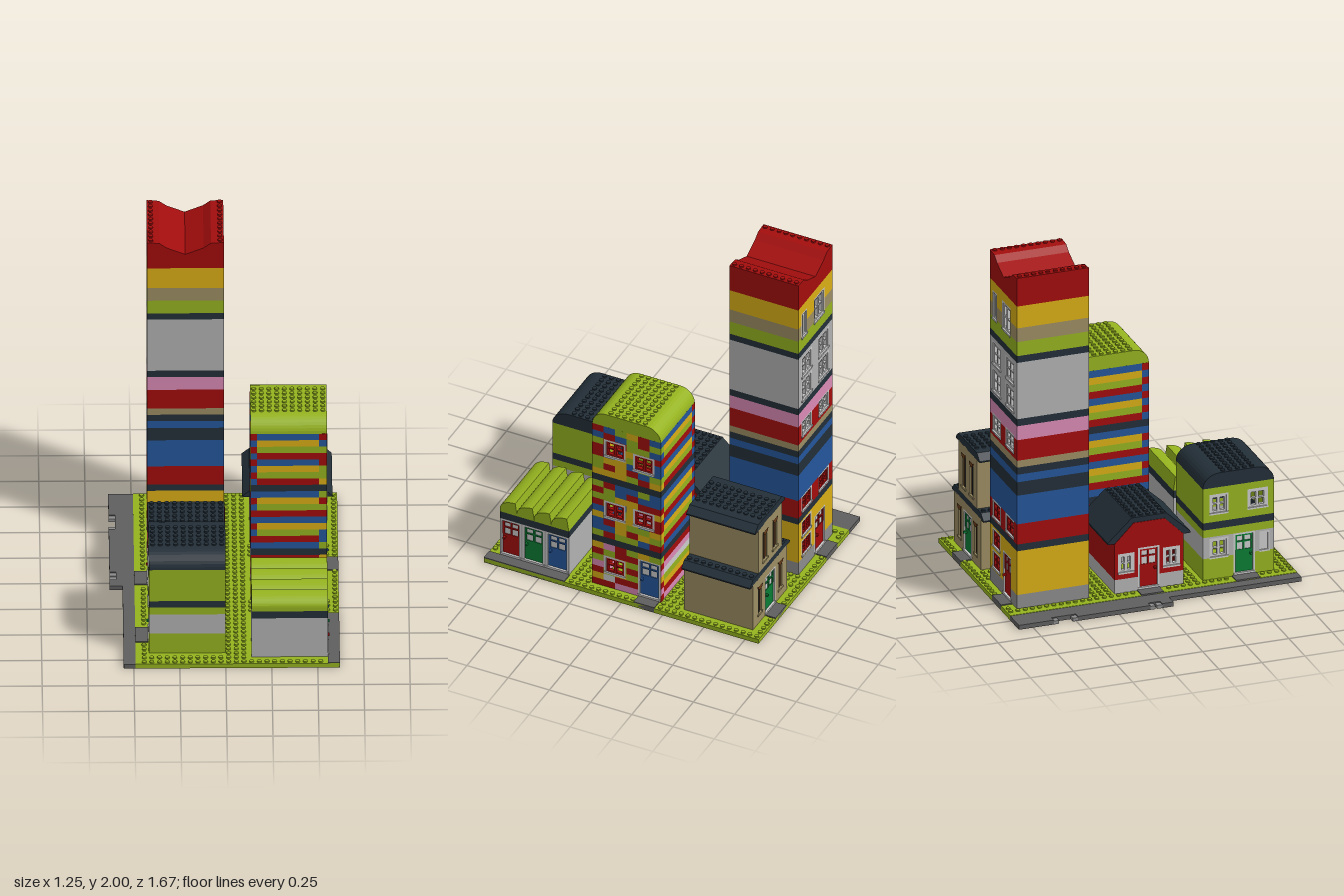
import * as THREE from 'three';
import { mergeGeometries } from 'three/addons/utils/BufferGeometryUtils.js';

const P = 0.0417; // stud pitch, also the brick course height
const C = {
  red: 0xa30d0d, yellow: 0xd9ae16, tan: 0x9c8d63, green: 0x95b31f, dark: 0x232f38, grey: 0xb2b2b2,
  pink: 0xd98ab5, blue: 0x25569b, road: 0x5f5f5f, door: 0x0b7d35, brown: 0x6b3d1c, stone: 0x8c8c8c, white: 0xd8d8d8,
};
const mats = {};
const mat = (c) => (mats[c] ??= new THREE.MeshStandardMaterial({ color: C[c] }));

function add(parent, name, color, geo) {
  const m = new THREE.Mesh(geo, mat(color));
  m.name = name;
  parent.add(m);
  return m;
}

function boxGeo(x0, x1, y0, y1, z0, z1) {
  return new THREE.BoxGeometry(x1 - x0, y1 - y0, z1 - z0).translate((x0 + x1) / 2, (y0 + y1) / 2, (z0 + z1) / 2);
}
const box = (g, name, color, ...b) => add(g, name, color, boxGeo(...b));

function group(parent, name) {
  const g = new THREE.Group();
  g.name = name;
  parent.add(g);
  return g;
}

// Grid of studs over a rectangle, leaving out blocked rectangles [x0, x1, z0, z1]
function studs(g, color, x0, x1, z0, z1, y, blocked = []) {
  const list = [];
  for (let x = x1 - P / 2; x > x0 + 0.012; x -= P)
    for (let z = z0 + P / 2; z < z1 - 0.012; z += P) {
      if (blocked.some((b) => x > b[0] - 0.01 && x < b[1] + 0.01 && z > b[2] - 0.01 && z < b[3] + 0.01)) continue;
      list.push(new THREE.CylinderGeometry(0.0125, 0.0125, 0.008, 12).translate(x, y + 0.004, z));
    }
  add(g, 'studs', color, mergeGeometries(list));
}

// Profile extruded along z, or along x (profile then runs in z, y)
function prism(g, name, color, pts, a, b, alongX) {
  const shape = new THREE.Shape(pts.map(([u, y]) => new THREE.Vector2(alongX ? -u : u, y)));
  const geo = new THREE.ExtrudeGeometry(shape, { depth: b - a, bevelEnabled: false });
  geo.translate(0, 0, a);
  if (alongX) geo.rotateY(Math.PI / 2);
  return add(g, name, color, geo);
}

// Flat-topped roof profile with quarter-round edges
function roundedProfile(a, b, y0, y1, r) {
  const pts = [[a, y0]];
  for (let i = 0; i <= 8; i++) {
    const t = (i / 8) * Math.PI / 2;
    pts.push([a + r - r * Math.cos(t), y0 + (y1 - y0) * Math.sin(t)]);
  }
  for (let i = 8; i >= 0; i--) {
    const t = (i / 8) * Math.PI / 2;
    pts.push([b - r + r * Math.cos(t), y0 + (y1 - y0) * Math.sin(t)]);
  }
  return [...pts, [b, y0]];
}

// Box on a facade: u runs along the wall, d is the depth inward from its face
function onFace(g, name, color, f, u0, u1, y0, y1, d0, d1) {
  const [a, b] = f.sign > 0 ? [f.at - d1, f.at - d0] : [f.at + d0, f.at + d1];
  if (f.axis === 'x') box(g, name, color, a, b, y0, y1, u0, u1);
  else box(g, name, color, u0, u1, y0, y1, a, b);
}

// Piece of wall cut around the openings
function cutWall(g, f, u0, u1, y0, y1, color, holes) {
  const cuts = (lo, hi, i, j) => [...new Set([lo, hi, ...holes.flatMap((h) => [h[i], h[j]]).filter((v) => v > lo && v < hi)])].sort((p, q) => p - q);
  const us = cuts(u0, u1, 0, 1), ys = cuts(y0, y1, 2, 3);
  for (let i = 0; i + 1 < us.length; i++)
    for (let j = 0; j + 1 < ys.length; j++) {
      const u = (us[i] + us[i + 1]) / 2, y = (ys[j] + ys[j + 1]) / 2;
      if (!holes.some((h) => u > h[0] && u < h[1] && y > h[2] && y < h[3])) onFace(g, 'facade', color, f, us[i], us[i + 1], ys[j], ys[j + 1], 0, P);
    }
}

// Window: [u0, u1, y0, y1, frame colour]; door: the same with 'door' sixth; arch: brown shutters
function fitting(g, f, [u0, u1, y0, y1, color, kind]) {
  const e = 0.011, um = (u0 + u1) / 2, isDoor = kind === 'door', n = isDoor ? 'door' : 'window';
  const bar = (c, a, b, p, q, d = 0) => onFace(g, n + 'Frame', c, f, a, b, p, q, d, 0.025);
  const outer = color === 'brown' ? 'tan' : 'white';
  bar(outer, u0, u0 + e, y0, y1); bar(outer, u1 - e, u1, y0, y1);
  bar(outer, u0, u1, y1 - e, y1); bar(outer, u0, u1, y0, y0 + e, -0.005);
  if (isDoor || color === 'brown') {
    const top = isDoor ? y0 + (y1 - y0) * 0.58 : y1;
    onFace(g, n + 'Panel', color, f, u0 + e, u1 - e, y0, top, 0.008, 0.02);
    if (!isDoor) { bar('dark', um - 0.003, um + 0.003, y0, y1, 0.005); return; }
    onFace(g, 'windowPanes', 'white', f, u0 + e, u1 - e, top, y1, 0.012, 0.02);
    bar(color, u0 + e, u0 + 2 * e, top, y1, 0.006); bar(color, u1 - 2 * e, u1 - e, top, y1, 0.006);
    bar(color, um - 0.005, um + 0.005, top, y1, 0.006); bar(color, u0 + e, u1 - e, y1 - 2 * e, y1 - e, 0.006);
    bar(color, u0 + e, u1 - e, (top + y1) / 2 - 0.008, (top + y1) / 2, 0.006);
    onFace(g, 'doorKnob', color, f, u1 - 0.03, u1 - 0.018, y0 + 0.11, y0 + 0.122, -0.01, 0.01);
    return;
  }
  // casement bars around two panes
  const a = u0 + e, b = u1 - e, p = y0 + e, q = y1 - e;
  bar(color, a, a + e, p, q, 0.004); bar(color, b - e, b, p, q, 0.004); bar(color, um - 0.008, um + 0.008, p, q, 0.004);
  bar(color, a, b, p, p + e, 0.004); bar(color, a, b, q - e, q, 0.004);
  bar(color, a, b, (p + q) / 2 - 0.004, (p + q) / 2 + 0.004, 0.006);
}

// Hollow building: bands are [top, colour] from the bottom up; one face carries the openings
function building(g, [x0, x1, z0, z1], y, bands, axis, sign, holes, cols) {
  const f = { axis, sign, at: axis === 'x' ? (sign > 0 ? x1 : x0) : (sign > 0 ? z1 : z0) };
  const [u0, u1] = axis === 'x' ? [z0, z1] : [x0, x1];
  for (const [top, color, mosaic] of bands) {
    for (const [ax, s, at] of [['x', 1, x1], ['x', -1, x0], ['z', 1, z1], ['z', -1, z0]]) {
      if (ax === axis && s === sign) continue;
      const [a, b] = ax === 'x' ? [z0, z1] : [x0, x1], k = ax === axis ? 0 : P;
      const lo = a + (sign < 0 ? k : 0), hi = b - (sign > 0 ? k : 0);
      onFace(g, 'wall', color, { axis: ax, sign: s, at }, lo, hi, y, top, 0, P);
    }
    const n = mosaic ? cols : 1;
    for (let i = 0; i < n; i++) cutWall(g, f, u0 + (u1 - u0) * i / n, u0 + (u1 - u0) * (i + 1) / n, y, top, mosaic ? mosaic[i] : color, holes);
    y = top;
  }
  for (const h of holes) fitting(g, f, h);
}

export function createModel() {
  const model = new THREE.Group();
  model.name = 'brickTown';

  // Ground plate, pavement and door paths
  const ground = group(model, 'ground');
  const paths = [[-0.49, -0.42, -0.07, 0.06], [-0.49, -0.42, 0.48, 0.62], [0.555, 0.62, -0.2, -0.075], [0.555, 0.62, 0.345, 0.833],
    [-0.35, -0.21, -0.833, -0.77], [0.28, 0.41, -0.833, -0.77]];
  box(ground, 'plate', 'green', -0.49, 0.62, 0, 0.028, -0.833, 0.833);
  for (const [a, b, c, d] of paths) box(ground, 'doorPath', 'road', a, b, 0.002, 0.034, c, d);
  box(ground, 'pavement', 'road', -0.555, -0.49, 0, 0.026, -0.833, 0.833);
  for (const [a, b] of [[-0.833, -0.63], [-0.49, -0.07], [0, 0.065]]) box(ground, 'kerb', 'road', -0.625, -0.555, 0, 0.026, a, b);
  for (const [a, b] of [[-0.63, -0.49], [-0.07, 0]]) {
    box(ground, 'kerbGap', 'road', -0.59, -0.555, 0, 0.026, a, b);
    for (const z of [a, b - 0.03]) box(ground, 'drainEdge', 'stone', -0.625, -0.56, 0, 0.02, z, z + 0.03);
  }
  const lots = { tower: [-0.418, 0, -0.767, -0.35], villa: [0.14, 0.555, -0.767, -0.35], cottage: [-0.418, 0, -0.2, 0.2],
    hall: [-0.418, 0, 0.312, 0.725], flats: [0.14, 0.555, -0.208, 0.208], shops: [0.14, 0.555, 0.35, 0.767] };
  studs(ground, 'green', -0.49, 0.62, -0.833, 0.833, 0.028, [...paths, ...Object.values(lots)]);

  // Tall striped tower, front door at the back
  const tower = group(model, 'tower');
  const tw = [[-0.33, -0.2, 0.035, 0.29, 'red', 'door'], [-0.16, -0.04, 0.12, 0.23, 'red'], [-0.16, -0.04, 0.25, 0.36, 'red']];
  for (const [a, b] of [[-0.375, -0.245], [-0.17, -0.04]]) {
    tw.push([a, b, 0.42, 0.53, 'red'], [a, b, 0.93, 1.04, 'white'], [a, b, 1.17, 1.31, 'white'], [a, b, 1.33, 1.47, 'white']);
  }
  tw.push([-0.32, -0.19, 1.6, 1.77, 'white'], [-0.11, -0.04, 1.6, 1.77, 'white']);
  building(tower, lots.tower, 0.028, [[0.11, 'stone'], [0.37, 'yellow'], [0.41, 'dark'], [0.53, 'red'], [0.7, 'blue'], [0.78, 'dark'], [0.825, 'blue'],
    [0.867, 'dark'], [0.908, 'tan'], [1.03, 'red'], [1.113, 'pink'], [1.155, 'dark'], [1.49, 'grey'], [1.53, 'dark'], [1.613, 'green'],
    [1.695, 'tan'], [1.825, 'yellow']], 'z', -1, tw);
  prism(tower, 'dippedRoof', 'red', [[-0.418, 1.825], [-0.418, 1.992], [-0.35, 1.987], [-0.31, 1.957], [-0.21, 1.915], [-0.11, 1.957], [-0.07, 1.987], [0, 1.992], [0, 1.825]], -0.767, -0.35);
  studs(tower, 'red', -0.418, -0.376, -0.767, -0.35, 1.992);
  studs(tower, 'red', -0.042, 0, -0.767, -0.35, 1.992);

  // Two-storey villa with a narrower upper floor
  const villa = group(model, 'villa');
  const up = [0.2, 0.49, -0.767, -0.35];
  building(villa, lots.villa, 0.028, [[0.33, 'tan']], 'z', -1, [[0.28, 0.41, 0.035, 0.28, 'door', 'door'], [0.19, 0.25, 0.08, 0.28, 'brown'], [0.44, 0.5, 0.08, 0.28, 'brown']]);
  building(villa, up, 0.365, [[0.66, 'tan']], 'z', -1, [[0.25, 0.32, 0.4, 0.61, 'brown'], [0.37, 0.44, 0.4, 0.61, 'brown']]);
  for (const [x, y] of [[0.285, 0.61], [0.405, 0.61], [0.22, 0.28], [0.47, 0.28]])
    add(villa, 'windowArch', 'brown', new THREE.CylinderGeometry(0.028, 0.028, 0.012, 16, 1, false, Math.PI / 2, Math.PI).rotateX(-Math.PI / 2).translate(x, y, -0.766));
  prism(villa, 'lowerEaves', 'dark', [[0.1, 0.325], [0.1, 0.333], [0.14, 0.366], [0.555, 0.366], [0.59, 0.333], [0.59, 0.325]], -0.767, -0.35);
  studs(villa, 'dark', 0.14, 0.182, -0.767, -0.35, 0.366);
  studs(villa, 'dark', 0.51, 0.552, -0.767, -0.35, 0.366);
  prism(villa, 'upperRoof', 'dark', [[0.16, 0.655], [0.16, 0.663], [0.2, 0.698], [0.49, 0.698], [0.53, 0.663], [0.53, 0.655]], -0.767, -0.35);
  studs(villa, 'dark', 0.24, 0.45, -0.767, -0.35, 0.698);

  // Red cottage with a sloped roof
  const cottage = group(model, 'cottage');
  building(cottage, lots.cottage, 0.028, [[0.11, 'grey'], [0.33, 'red']], 'x', -1,
    [[-0.065, 0.06, 0.035, 0.28, 'red', 'door'], [-0.18, -0.085, 0.14, 0.26, 'white'], [0.08, 0.18, 0.14, 0.26, 'white']]);
  const gable = [[-0.24, 0.325], [-0.24, 0.335], [-0.1, 0.465], [0.1, 0.465], [0.24, 0.335], [0.24, 0.325]].reverse();
  prism(cottage, 'slopedRoof', 'dark', gable, -0.418, 0, true);
  prism(cottage, 'gableWall', 'red', [[0.2, 0.325], [0.09, 0.435], [-0.09, 0.435], [-0.2, 0.325]], -0.421, 0.003, true);
  studs(cottage, 'dark', -0.418, 0, -0.104, 0.104, 0.465);

  // Green hall with a rounded roof
  const hall = group(model, 'hall');
  building(hall, lots.hall, 0.028, [[0.155, 'green'], [0.28, 'grey'], [0.325, 'green'], [0.367, 'dark'], [0.57, 'green']], 'x', -1,
    [[0.49, 0.615, 0.035, 0.28, 'door', 'door'], [0.35, 0.46, 0.15, 0.27, 'white'], [0.64, 0.7, 0.15, 0.27, 'white'], [0.35, 0.46, 0.41, 0.53, 'white'], [0.57, 0.69, 0.41, 0.53, 'white']]);
  prism(hall, 'roundedRoof', 'dark', roundedProfile(0.312, 0.725, 0.57, 0.655, 0.1), -0.418, 0, true);
  studs(hall, 'dark', -0.418, 0, 0.415, 0.625, 0.655);

  // Patchwork flats: striped sides, mosaic front towards the right-hand edge
  const flats = group(model, 'flats');
  let seed = 7;
  const pick = (list) => list[(seed = (seed * 16807) % 2147483647) % list.length];
  const low = ['pink', 'red', 'yellow', 'green', 'white', 'pink'], high = ['red', 'blue', 'yellow', 'green'];
  const cycle = ['red', 'green', 'yellow', 'blue'], bands = [];
  for (let i = 0; i < 26; i++) {
    const dark = i === 7 || i === 17;
    const color = dark ? 'dark' : i < 7 ? low[i % 5] : cycle[(i - (i > 17 ? 18 : 9) + 8) % 4];
    bands.push([0.028 + (i + 1) * 0.04165, color, Array.from({ length: 6 }, () => (dark ? 'dark' : pick(i < 7 ? low : high)))]);
  }
  building(flats, lots.flats, 0.028, bands, 'x', 1, [[-0.205, -0.07, 0.035, 0.28, 'blue', 'door'], [0.005, 0.135, 0.12, 0.235, 'red'],
    [0.005, 0.135, 0.495, 0.61, 'red'], [-0.17, -0.04, 0.495, 0.61, 'red'], [0.005, 0.135, 0.91, 1.025, 'red'], [-0.17, -0.04, 0.87, 0.985, 'red']], 6);
  for (let i = 9; i < 26; i++) // corner bricks keyed into the rear edge
    for (const z of [-0.209, 0.169]) box(flats, 'cornerBrick', i === 17 ? 'dark' : i % 2 ? 'red' : 'blue', 0.139, 0.175, 0.028 + i * 0.04165, 0.028 + (i + 1) * 0.04165, z, z + 0.04);
  prism(flats, 'roundedRoof', 'green', roundedProfile(-0.208, 0.208, 1.111, 1.195, 0.085), 0.14, 0.555, true);
  studs(flats, 'green', 0.14, 0.555, -0.125, 0.125, 1.195);

  // Row of three shops with a scalloped roof
  const shops = group(model, 'shops');
  building(shops, lots.shops, 0.028, [[0.28, 'grey'], [0.325, 'dark']], 'x', 1,
    [[0.64, 0.765, 0.04, 0.278, 'red', 'door'], [0.497, 0.63, 0.04, 0.278, 'door', 'door'], [0.353, 0.487, 0.04, 0.278, 'blue', 'door']]);
  for (let i = 0; i < 4; i++) {
    const z0 = 0.35 + i * 0.1043, pts = [[z0, 0.325]];
    for (let k = 0; k <= 8; k++) {
      const t = (k / 8) * Math.PI / 2;
      pts.push([z0 + 0.012 + 0.0923 * Math.sin(t), 0.35 + 0.056 * Math.cos(t)]);
    }
    pts.push([z0 + 0.1043, 0.325]);
    prism(shops, 'scallopedRoof', 'green', pts, 0.14, 0.555, true);
  }
  return model;
}
